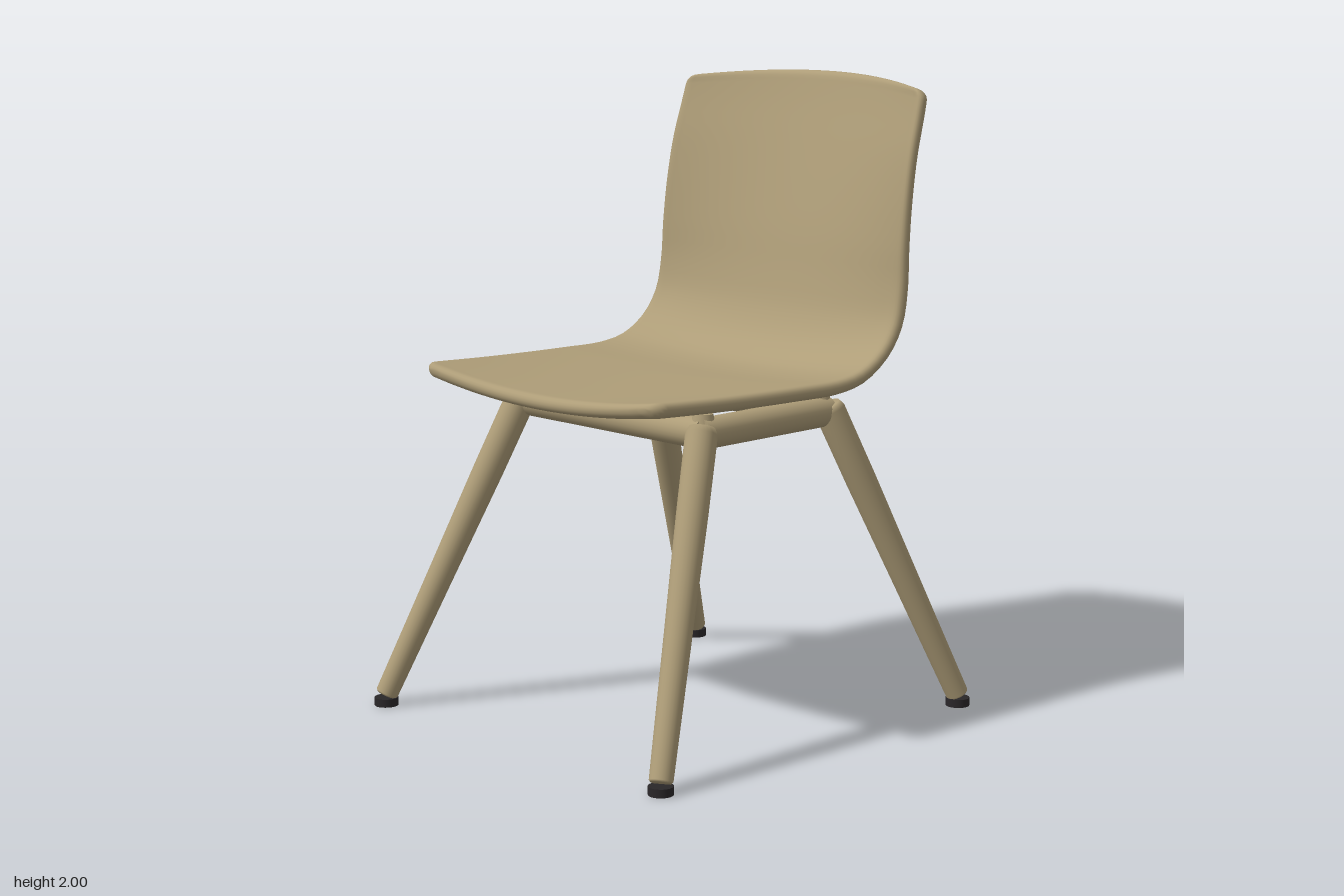
import * as THREE from 'three';
import { mergeVertices } from 'three/addons/utils/BufferGeometryUtils.js';

const wood = new THREE.MeshStandardMaterial({ color: 0xae9d78 });
wood.name = 'tan';
const rubber = new THREE.MeshStandardMaterial({ color: 0x2a2729 });
rubber.name = 'black rubber';

const HALF = 0.023; // half thickness of the shell
const CORNER = 0.045; // corner radius of the shell

// Distances along a length, packed closely at both ends for rounded edges
function spread(length, count) {
  const ends = [0, 0.0015, 0.006, 0.013, 0.023, 0.034];
  const out = [...ends];
  for (let i = 0; i <= count; i++) out.push(0.045 + ((length - 0.09) * i) / count);
  return out.concat(ends.map((e) => length - e).reverse());
}

// Quarter-circle ramp from 0 at the edge to 1 at distance r
function ramp(e, r) {
  const k = Math.max(0, 1 - e / r);
  return Math.sqrt(Math.max(0, 1 - k * k));
}

// Shell swept from the front of the seat to the top of the back:
// each row gives z, y on the centre line, then z, y on the side edge
function shellGeometry() {
  const rows = [
    [0.58, 1.052, 0.58, 1.096], [0.3, 1.051, 0.3, 1.085], [0, 1.052, 0, 1.08],
    [-0.2, 1.053, -0.18, 1.082], [-0.3, 1.073, -0.28, 1.103], [-0.39, 1.137, -0.375, 1.162],
    [-0.45, 1.23, -0.435, 1.245], [-0.485, 1.34, -0.459, 1.35], [-0.52, 1.48, -0.466, 1.48],
    [-0.56, 1.62, -0.48, 1.62], [-0.602, 1.76, -0.505, 1.76], [-0.645, 1.9, -0.541, 1.885],
    [-0.671, 1.995, -0.563, 1.965],
  ];
  const curve = (k) => new THREE.CatmullRomCurve3(
    rows.map((r) => new THREE.Vector3(0, r[k + 1], r[k])));
  const centre = curve(0);
  const side = curve(2);
  const length = centre.getLength();
  const stations = spread(length, 48);
  const pos = [];
  const index = [];
  let ring = 0;
  for (const d of stations) {
    const u = d / length;
    const t = centre.getUtoTmapping(u);
    const c = centre.getPoint(t);
    const s = side.getPoint(t);
    const tan = centre.getTangent(t);
    const e = Math.min(d, length - d);
    const w = 0.553 - 0.024 * ((u - 0.45) / 0.55) ** 2 - CORNER * (1 - ramp(e, CORNER));
    const across = spread(2 * w, 24);
    const add = (a, sign) => {
      const x = a - w;
      const k = (x / w) ** 2;
      const h = sign * HALF * ramp(e, HALF) * ramp(Math.min(a, 2 * w - a), HALF);
      pos.push(x, c.y + (s.y - c.y) * k - tan.z * h, c.z + (s.z - c.z) * k + tan.y * h);
    };
    across.forEach((a) => add(a, 1));
    across.slice(1, -1).reverse().forEach((a) => add(a, -1));
    ring = 2 * across.length - 2;
  }
  for (let i = 0; i < stations.length - 1; i++) {
    for (let j = 0; j < ring; j++) {
      const a = i * ring + j;
      const b = i * ring + ((j + 1) % ring);
      index.push(a, b, b + ring, a, b + ring, a + ring);
    }
  }
  let geo = new THREE.BufferGeometry();
  geo.setAttribute('position', new THREE.Float32BufferAttribute(pos, 3));
  geo.setIndex(index);
  geo = mergeVertices(geo, 1e-5);
  geo.computeVertexNormals();
  return geo;
}

// Places a geometry running along +y from 0 so that it starts at a and points to b
function along(name, geo, a, b) {
  const mesh = new THREE.Mesh(geo, wood);
  mesh.name = name;
  mesh.position.copy(a);
  mesh.quaternion.setFromUnitVectors(new THREE.Vector3(0, 1, 0), b.clone().sub(a).normalize());
  return mesh;
}

function rail(name, a, b) {
  const len = a.distanceTo(b);
  return along(name, new THREE.CylinderGeometry(0.048, 0.048, len, 24).translate(0, len / 2, 0), a, b);
}

export function createModel() {
  const model = new THREE.Group();
  model.name = 'chair';

  const shell = new THREE.Mesh(shellGeometry(), wood);
  shell.name = 'seatShell';
  model.add(shell);

  // Splayed tapered legs with rubber feet
  const legs = [
    ['front', new THREE.Vector3(0.412, 0.995, 0.278), new THREE.Vector3(0.645, 0.034, 0.664)],
    ['back', new THREE.Vector3(0.392, 0.995, -0.278), new THREE.Vector3(0.609, 0.034, -0.666)],
  ];
  for (const [label, top, bottom] of legs) {
    for (const sx of [1, -1]) {
      const flip = new THREE.Vector3(sx, 1, 1);
      const a = bottom.clone().multiply(flip);
      const b = top.clone().multiply(flip);
      const len = a.distanceTo(b);
      const profile = [[0, 0], [0.031, 0], [0.036, 0.006], [0.042, len * 0.4], [0.048, len * 0.75],
        [0.049, len - 0.02], [0.04, len], [0, len + 0.002]].map((p) => new THREE.Vector2(...p));
      const name = label + (sx > 0 ? 'Left' : 'Right');
      model.add(along(name + 'Leg', new THREE.LatheGeometry(profile, 24), a, b));

      const foot = new THREE.Mesh(new THREE.CylinderGeometry(0.038, 0.038, 0.026, 24), rubber);
      foot.name = name + 'Foot';
      foot.position.set(a.x, 0.013, a.z);
      model.add(foot);

      // Small mount between the frame corner and the shell
      const mount = new THREE.Mesh(new THREE.CylinderGeometry(0.03, 0.045, 0.06, 16), wood);
      mount.name = name + 'Mount';
      mount.position.set(b.x * 0.96, 1.003, b.z * 0.93);
      model.add(mount);
    }
  }

  // Round rails joining the leg tops
  const p = (x, z) => new THREE.Vector3(x, 0.974, z);
  model.add(rail('frontRail', p(-0.41, 0.265), p(0.41, 0.265)));
  model.add(rail('backRail', p(-0.39, -0.265), p(0.39, -0.265)));
  model.add(rail('leftRail', p(0.405, 0.28), p(0.385, -0.28)));
  model.add(rail('rightRail', p(-0.405, 0.28), p(-0.385, -0.28)));

  return model;
}
